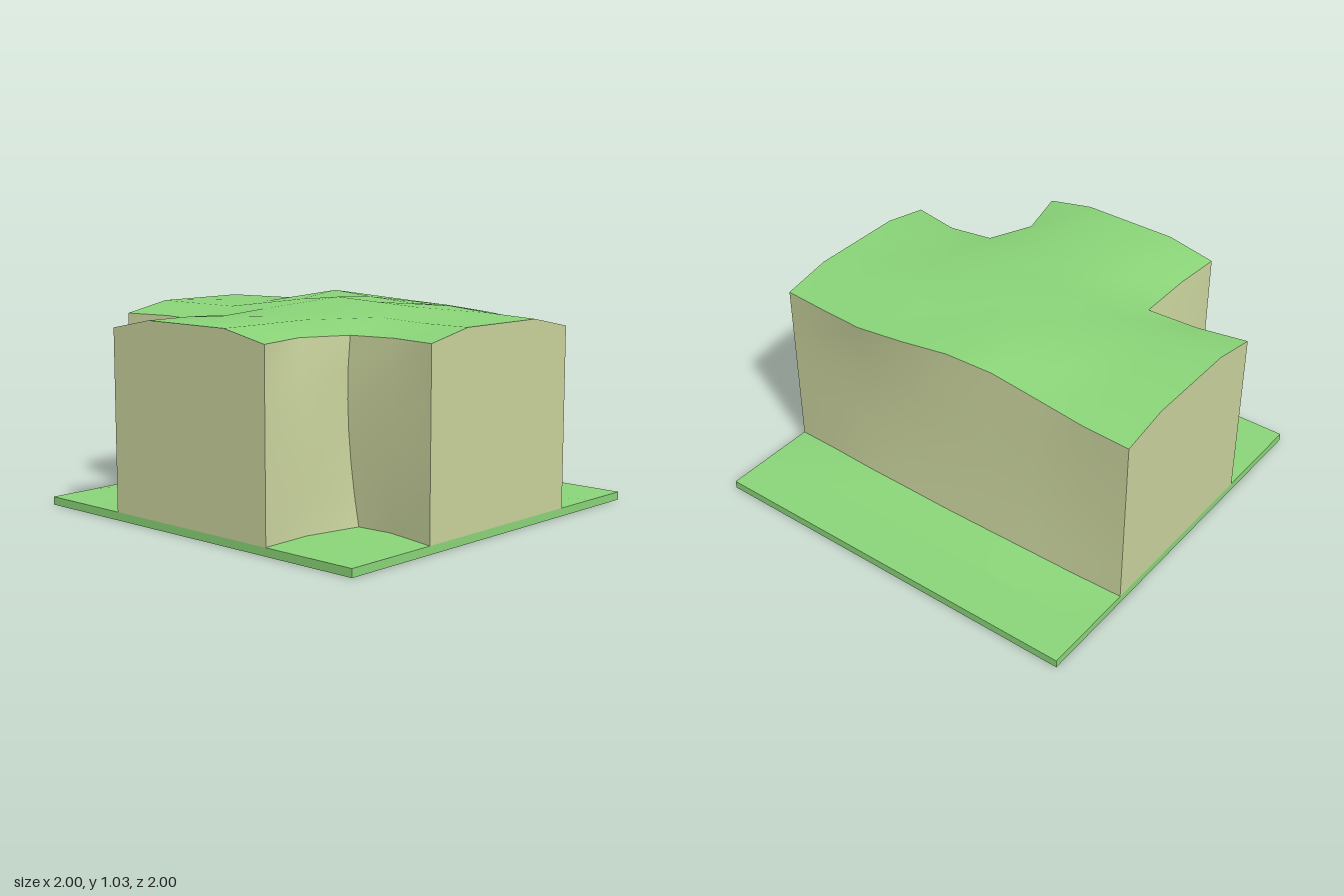
import * as THREE from 'three';

const GRASS = 0x8ad478, CLIFF = 0xc8d29c, BASE = 0.04, STEP = 0.25;

// Plateau heights on a quarter-unit grid: rows z = -0.5 .. 1, columns x = -1 .. 1
const HEIGHTS = [
  [0.92, 0.925, 0.94, 0.98, 0.985, 0.97, 0.95, 0.93, 0.92],
  [0.97, 0.975, 0.98, 1.035, 1.015, 1.0, 1.0, 0.98, 0.97],
  [0.97, 0.975, 0.98, 1.005, 1.03, 1.02, 1.01, 0.975, 0.97],
  [0.97, 0.97, 0.97, 0.975, 0.985, 0.985, 0.98, 0.97, 0.97],
  [0.92, 0.92, 0.91, 0.96, 0.97, 0.97, 0.92, 0.92, 0.92],
  [0, 0, 0.915, 0.97, 0.97, 0.97, 0.92, 0, 0],
  [0, 0, 0.92, 0.97, 0.97, 0.97, 0.92, 0, 0],
];

// Rim wobble: "x,z" -> [dx, dz]
const RIM = {
  '-0.75,-0.5': [0, 0.005], '-0.5,-0.5': [0, 0.02], '-0.25,-0.5': [0, 0.01],
  '0,-0.5': [0, -0.005], '0.25,-0.5': [0, -0.04], '0.5,-0.5': [0, -0.055], '0.75,-0.5': [0, -0.025],
  '-0.75,0.5': [0, -0.05], '-0.5,0.5': [0.02, -0.05], '-0.5,0.75': [0.02, 0],
  '0.5,0.75': [-0.07, -0.03], '0.5,0.5': [0.03, -0.005], '0.75,0.5': [0, -0.045],
};

// Cliff foot: "x,z" -> [dx, dz, height above the slab]
const FOOT = {
  '-0.75,-0.5': [0, -0.025, 0.02], '-0.5,-0.5': [0, -0.045, 0.04], '-0.25,-0.5': [0, -0.048, 0.04],
  '0,-0.5': [0, -0.05, 0.04], '0.25,-0.5': [0, -0.047, 0.04], '0.5,-0.5': [0, -0.045, 0.04],
  '0.75,-0.5': [0, -0.02, 0.02],
  '-0.75,0.5': [-0.05, 0.08, 0.018], '-0.5,0.5': [-0.12, 0.13, 0.03], '-0.5,0.75': [-0.07, 0.05, 0.012],
  '0.5,0.75': [0, 0, 0.005], '0.5,0.5': [0.07, -0.02, 0.01], '0.75,0.5': [0, -0.03, 0.01],
};

const rim = (x, z) => RIM[`${x},${z}`] ?? [0, 0];
const foot = (x, z) => FOOT[`${x},${z}`] ?? [0, 0, 0];
const height = (x, z) => HEIGHTS[(z + 0.5) / STEP][(x + 1) / STEP];

// Smooth surface through rows of points (bottom row first, left to right); null leaves a gap
function sheet(name, rows, color) {
  const positions = [], index = [], ids = rows.map((row) => row.map((p) => {
    if (!p) return -1;
    positions.push(...p);
    return positions.length / 3 - 1;
  }));
  for (let r = 0; r + 1 < rows.length; r++) {
    for (let i = 0; i + 1 < rows[r].length; i++) {
      const a = ids[r][i], b = ids[r][i + 1], c = ids[r + 1][i + 1], d = ids[r + 1][i];
      if (Math.min(a, b, c, d) >= 0) index.push(a, b, c, a, c, d);
    }
  }
  const geometry = new THREE.BufferGeometry();
  geometry.setAttribute('position', new THREE.Float32BufferAttribute(positions, 3));
  geometry.setIndex(index);
  geometry.computeVertexNormals();
  const mesh = new THREE.Mesh(geometry, new THREE.MeshStandardMaterial({ color, side: THREE.DoubleSide }));
  mesh.name = name;
  return mesh;
}

// Grid nodes from one point to another, both included
function path([x0, z0], [x1, z1]) {
  const n = Math.max(Math.abs(x1 - x0), Math.abs(z1 - z0)) / STEP;
  return Array.from({ length: n + 1 }, (_, i) => [x0 + (x1 - x0) * i / n, z0 + (z1 - z0) * i / n]);
}

// Cliff wall, hollowed between its flared foot and its rim
function cliff(name, nodes) {
  const rows = [], N = 6;
  for (let r = 0; r <= N; r++) {
    const t = r / N, low = (1 - t) ** 2, high = t ** 3;
    rows.push(nodes.map(([x, z]) => {
      const f = foot(x, z), e = rim(x, z), y0 = BASE + f[2];
      return [x + f[0] * low + e[0] * high, y0 + (height(x, z) - y0) * t, z + f[1] * low + e[1] * high];
    }));
  }
  return sheet(name, rows, CLIFF);
}

// Grass sloping from a cliff foot down to the slab
function apron(name, nodes, outer) {
  return sheet(name, [
    nodes.map(([x, z]) => { const [ox, oz] = outer(x, z); return [ox, BASE + 0.001, oz]; }),
    nodes.map(([x, z]) => { const f = foot(x, z); return [x + f[0], BASE + 0.001 + f[2], z + f[1]]; }),
  ], GRASS);
}

export function createModel() {
  const model = new THREE.Group();
  model.name = 'terrainTile';

  // Ground slab
  const slab = new THREE.Mesh(new THREE.BoxGeometry(2, BASE, 2), new THREE.MeshStandardMaterial({ color: GRASS }));
  slab.name = 'groundSlab';
  slab.position.y = BASE / 2;
  model.add(slab);

  // Rolling T-shaped plateau top
  const rows = path([0, 1], [0, -0.5]).map(([, z]) => path([-1, z], [1, z]).map(([x]) => {
    const y = height(x, z), [dx, dz] = rim(x, z);
    return y ? [x + dx, y, z + dz] : null;
  }));
  model.add(sheet('plateauTop', rows, GRASS));

  // Cliffs, each running left to right as seen from outside
  const walls = {
    frontCliff: [[-0.5, 1], [0.5, 1]],
    leftStemCliff: [[0.5, 1], [0.5, 0.5]],
    leftRecessCliff: [[0.5, 0.5], [1, 0.5]],
    leftEndCliff: [[1, 0.5], [1, -0.5]],
    backCliff: [[1, -0.5], [-1, -0.5]],
    rightEndCliff: [[-1, -0.5], [-1, 0.5]],
    rightRecessCliff: [[-1, 0.5], [-0.5, 0.5]],
    rightStemCliff: [[-0.5, 0.5], [-0.5, 1]],
  };
  for (const [name, [from, to]] of Object.entries(walls)) model.add(cliff(name, path(from, to)));

  // Grass banks behind and in the two front notches
  model.add(apron('backBank', path([1, -0.5], [-1, -0.5]), (x) => [x, -0.75]));
  const notchOuter = (x, z) => [
    Math.abs(x) === 0.5 ? Math.sign(x) * 0.75 : x,
    z === 0.5 ? 0.75 : z,
  ];
  model.add(apron('leftBank', [...path([0.5, 1], [0.5, 0.5]), ...path([0.75, 0.5], [1, 0.5])], notchOuter));
  model.add(apron('rightBank', [...path([-1, 0.5], [-0.5, 0.5]), ...path([-0.5, 0.75], [-0.5, 1])], notchOuter));

  return model;
}
